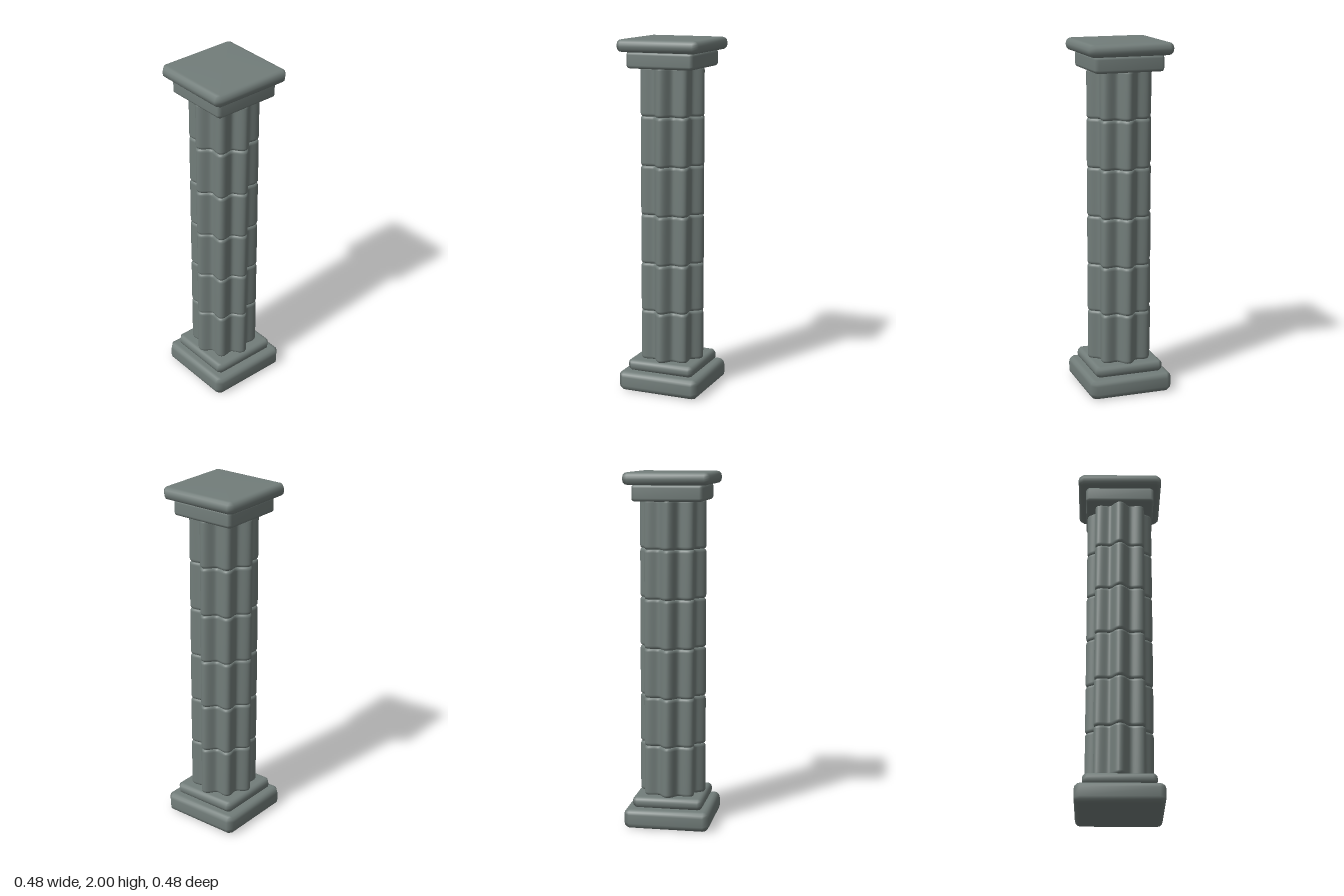
import * as THREE from 'three';

const stone = new THREE.MeshStandardMaterial({ color: 0x727d7a });

// Closed smooth solid from stacked rings of [x, z] points, listed from +z towards +x
function loft(name, rings, heights) {
  const n = rings[0].length, pos = [], idx = [];
  rings.forEach((ring, i) => ring.forEach(([x, z]) => pos.push(x, heights[i], z)));
  for (let i = 0; i < rings.length - 1; i++) {
    for (let j = 0; j < n; j++) {
      const a = i * n + j, b = i * n + (j + 1) % n;
      idx.push(a, b, b + n, a, b + n, a + n);
    }
  }
  const last = (rings.length - 1) * n, bottom = rings.length * n;
  pos.push(0, heights[0], 0, 0, heights[heights.length - 1], 0);
  for (let j = 0; j < n; j++) {
    const k = (j + 1) % n;
    idx.push(bottom, k, j, bottom + 1, last + j, last + k);
  }
  const geo = new THREE.BufferGeometry();
  geo.setAttribute('position', new THREE.Float32BufferAttribute(pos, 3));
  geo.setIndex(idx);
  geo.computeVertexNormals();
  const mesh = new THREE.Mesh(geo, stone);
  mesh.name = name;
  return mesh;
}

// Rounded edge: [inset, height] pairs from bottom to top
function roundedProfile(y0, y1, r, inset, steps) {
  const low = [], high = [];
  for (let s = 0; s <= steps; s++) {
    const a = (s / steps) * Math.PI / 2;
    const d = inset * (1 - Math.sin(a)), h = r * (1 - Math.cos(a));
    low.push([d, y0 + h]);
    high.unshift([d, y1 - h]);
  }
  return [...low, ...high];
}

// Square slab with rounded edges and cut corners
function slab(name, half, y0, y1, r) {
  const profile = roundedProfile(y0, y1, r, r, 3);
  const rings = profile.map(([d]) => {
    const h = half - d, c = h - Math.max(r - d, 0.004);
    return [[-c, h], [c, h], [h, c], [h, -c], [c, -h], [-c, -h], [-h, -c], [-h, c]];
  });
  return loft(name, rings, profile.map(p => p[1]));
}

// Shaft drum with eight rounded lobes
function drum(name, y0, y1) {
  const profile = roundedProfile(y0, y1, 0.018, 0.014, 4), n = 128;
  const rings = profile.map(([d]) => Array.from({ length: n }, (_, j) => {
    const t = (j / n) * Math.PI * 2;
    const r = 0.169 + 0.02 * Math.cos(8 * t) - d;
    return [r * Math.sin(t), r * Math.cos(t)];
  }));
  return loft(name, rings, profile.map(p => p[1]));
}

export function createModel() {
  const model = new THREE.Group();
  model.name = 'column';

  // Base
  model.add(slab('plinth', 0.242, 0, 0.112, 0.032));
  model.add(slab('baseMoulding', 0.2, 0.112, 0.176, 0.026));

  // Shaft of six stacked drums
  const joints = [0.174, 0.462, 0.74, 1.02, 1.298, 1.575, 1.85];
  const shaft = new THREE.Group();
  shaft.name = 'shaft';
  for (let i = 0; i < 6; i++) shaft.add(drum('drum' + (i + 1), joints[i], joints[i + 1]));
  model.add(shaft);

  // Capital
  model.add(slab('capitalNeck', 0.198, 1.84, 1.932, 0.018));
  model.add(slab('capitalSlab', 0.242, 1.93, 2, 0.03));
  return model;
}
